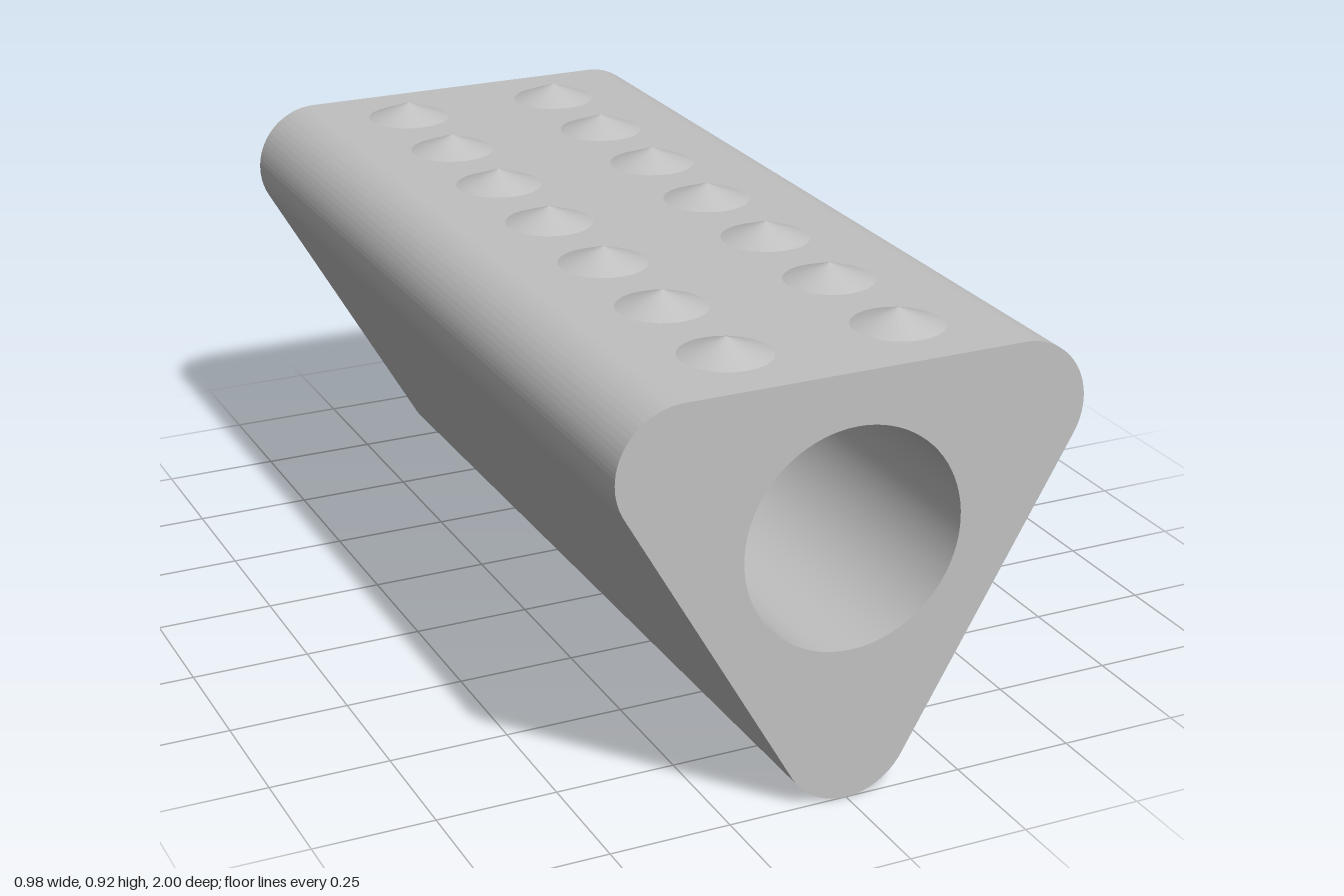
import * as THREE from 'three';
import { toCreasedNormals } from 'three/addons/utils/BufferGeometryUtils.js';

const TOP = 0.885, CORNER = 0.137, LENGTH = 2;

// Rounded triangle, point down, with a round bore
function bodyShape() {
  const s = new THREE.Shape();
  const rad = THREE.MathUtils.degToRad;
  const cx = 0.352, cy = TOP - CORNER;
  s.absarc(0, CORNER, CORNER, rad(-150), rad(-30), false);
  s.absarc(cx, cy, CORNER, rad(-30), rad(90), false);
  s.absarc(-cx, cy, CORNER, rad(90), rad(210), false);
  s.closePath();
  const bore = new THREE.Path();
  bore.absarc(0, 0.548, 0.229, 0, Math.PI * 2, true);
  s.holes.push(bore);
  return s;
}

export function createModel() {
  const model = new THREE.Group();
  model.name = 'studdedTriangularTube';
  const grey = new THREE.MeshStandardMaterial({ color: 0xc0c0c0 });
  grey.name = 'grey';

  // Long hollow body
  const bodyGeo = new THREE.ExtrudeGeometry(bodyShape(), {
    depth: LENGTH, bevelEnabled: false, curveSegments: 40,
  });
  bodyGeo.translate(0, 0, -LENGTH / 2);
  const body = new THREE.Mesh(toCreasedNormals(bodyGeo, Math.PI / 6), grey);
  body.name = 'body';
  model.add(body);

  // Two rows of shallow conical studs on the flat top
  const studHeight = 0.035;
  const studGeo = new THREE.ConeGeometry(0.092, studHeight, 24, 1, true);
  const studs = new THREE.Group();
  studs.name = 'studs';
  for (const side of [-1, 1]) {
    for (let i = -3; i <= 3; i++) {
      const stud = new THREE.Mesh(studGeo, grey);
      stud.name = side > 0 ? 'leftStud' : 'rightStud';
      stud.position.set(side * 0.182, TOP + studHeight / 2, i * 0.273);
      studs.add(stud);
    }
  }
  model.add(studs);
  return model;
}
